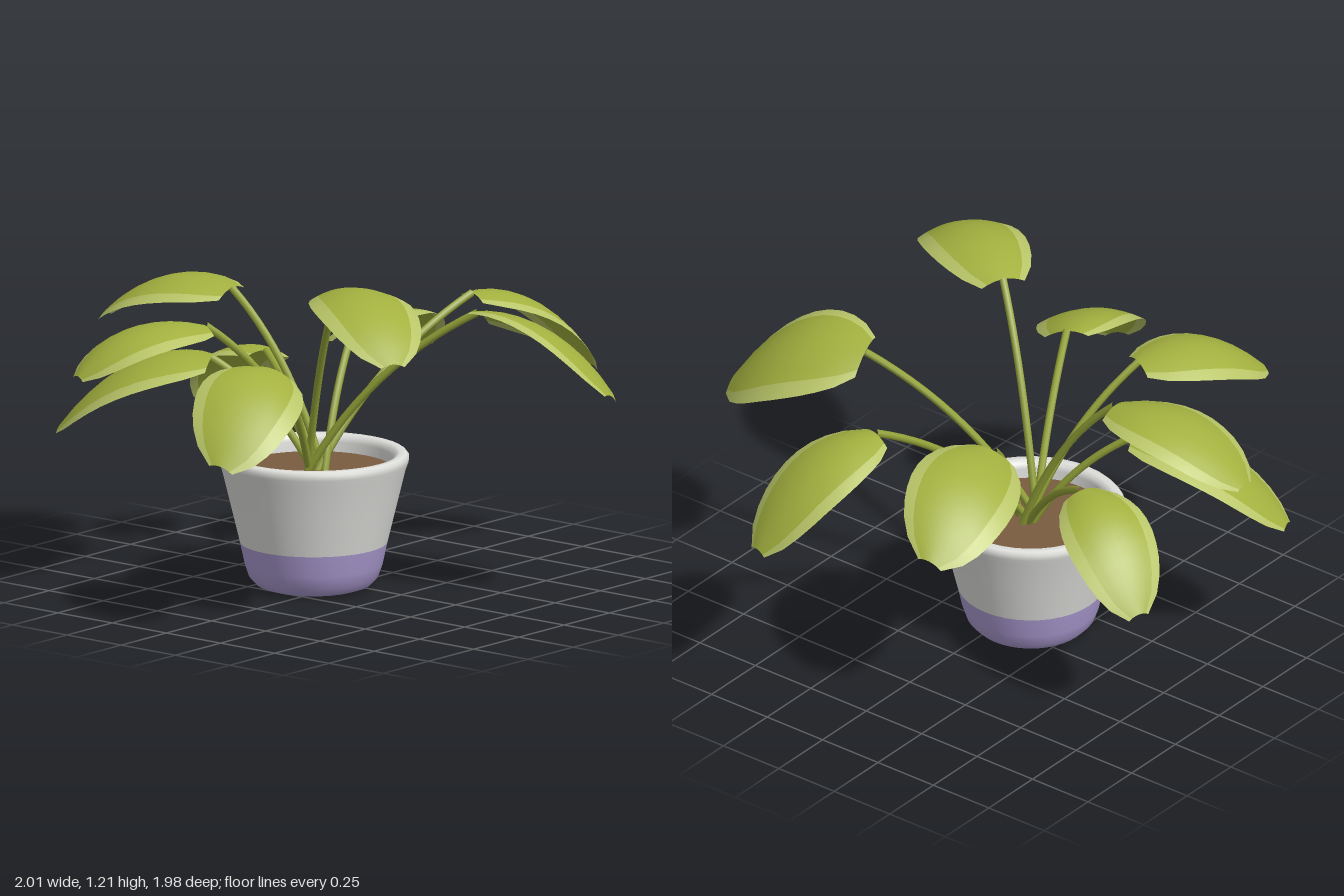
import * as THREE from 'three';

const mat = (name, color, side = THREE.FrontSide) => {
  const m = new THREE.MeshStandardMaterial({ color, side });
  m.name = name;
  return m;
};

// Pot centre
const CX = -0.09, CZ = -0.08;

// Each leaf: stem root (x, z), base point, tip point, bend height of the midrib, half width, sideways roll
const LEAVES = [
  { root: [-0.08, -0.09], base: [-0.26, 0.81, -0.41], tip: [-0.49, 0.53, -0.92], bend: 0.85, w: 0.19, roll: 0.03 },
  { root: [-0.05, -0.07], base: [-0.10, 1.03, -0.45], tip: [-0.17, 0.87, -0.98], bend: 1.12, w: 0.19, roll: 0.015 },
  { root: [-0.07, -0.08], base: [0.09, 0.77, -0.45], tip: [0.27, 0.49, -0.85], bend: 0.81, w: 0.16, roll: -0.02 },
  { root: [-0.06, -0.08], base: [-0.45, 0.98, -0.28], tip: [-0.89, 0.84, -0.50], bend: 1.06, w: 0.175, roll: 0 },
  { root: [-0.09, -0.03], base: [0.20, 0.87, -0.14], tip: [0.73, 0.71, -0.27], bend: 0.97, w: 0.185, roll: 0.06 },
  { root: [-0.10, -0.06], base: [0.52, 0.99, 0.14], tip: [0.99, 0.67, 0.30], bend: 1.02, w: 0.17, roll: 0 },
  { root: [-0.12, -0.09], base: [0.16, 1.03, 0.47], tip: [0.28, 0.78, 0.98], bend: 1.08, w: 0.19, roll: 0.08 },
  { root: [-0.11, -0.09], base: [-0.35, 1.17, 0.25], tip: [-0.67, 1.03, 0.77], bend: 1.30, w: 0.18, roll: 0 },
  { root: [-0.10, -0.09], base: [-0.56, 0.90, 0.13], tip: [-1.0, 0.64, 0.25], bend: 0.95, w: 0.185, roll: 0.05 },
];

// Relative half width from leaf base to blunt tip
const OUTLINE = [0.45, 0.72, 0.87, 0.96, 1, 1, 0.96, 0.89, 0.77, 0.58, 0.24];

// Lengthwise strip of a domed leaf blade between side positions s0 and s1 (-1..1)
function bladeStrip(leaf, s0, s1, cols) {
  const base = new THREE.Vector3(...leaf.base), tip = new THREE.Vector3(...leaf.tip);
  const mid = base.clone().lerp(tip, 0.58).setY(leaf.bend);
  const rib = new THREE.QuadraticBezierCurve3(base, mid, tip);
  const side = new THREE.Vector3(base.z - tip.z, 0, tip.x - base.x).normalize();
  const rows = OUTLINE.length - 1, pos = [], idx = [];
  for (let i = 0; i <= rows; i++) {
    const p = rib.getPoint(i / rows), h = OUTLINE[i];
    for (let j = 0; j <= cols; j++) {
      const s = s0 + (s1 - s0) * j / cols;
      const q = p.clone().addScaledVector(side, s * leaf.w * h);
      q.y += h * (leaf.roll * s - 0.052 * s * s);
      pos.push(q.x, q.y, q.z);
      if (i < rows && j < cols) {
        const a = i * (cols + 1) + j, b = a + cols + 1;
        idx.push(a, b, a + 1, b, b + 1, a + 1);
      }
    }
  }
  const g = new THREE.BufferGeometry();
  g.setAttribute('position', new THREE.Float32BufferAttribute(pos, 3));
  g.setIndex(idx);
  g.computeVertexNormals();
  return g;
}

// Arching stem from the soil to the leaf base
function stemGeometry(leaf) {
  const end = new THREE.Vector3(...leaf.base);
  const start = new THREE.Vector3(leaf.root[0], 0.41, leaf.root[1]);
  const bend = start.clone().lerp(end, 0.36);
  bend.y = start.y + (end.y - start.y) * 0.66;
  return new THREE.TubeGeometry(new THREE.QuadraticBezierCurve3(start, bend, end), 14, 0.014, 7);
}

export function createModel() {
  const root = new THREE.Group();
  root.name = 'pottedPlant';
  const white = mat('potWhite', 0xdfdfdc);
  const lavender = mat('potLavender', 0xac9bd2);
  const soilBrown = mat('soilBrown', 0x7a5c40);
  const stemGreen = mat('stemGreen', 0x93a238);
  const leafGreen = mat('leafGreen', 0xa3b13f, THREE.DoubleSide);
  const edgeGreen = mat('leafEdgeGreen', 0xb9c568, THREE.DoubleSide);

  const add = (parent, name, geometry, material) => {
    const m = new THREE.Mesh(geometry, material);
    m.name = name;
    parent.add(m);
    return m;
  };
  const lathe = (pts) => new THREE.LatheGeometry(pts.map(([x, y]) => new THREE.Vector2(x, y)), 40);

  // Pot: lavender foot, white body with a rounded rim
  const pot = new THREE.Group();
  pot.name = 'pot';
  pot.position.set(CX, 0, CZ);
  root.add(pot);
  add(pot, 'potFoot', lathe([[0, 0.006], [0.14, 0.002], [0.17, 0], [0.205, 0.012], [0.23, 0.04], [0.245, 0.085], [0.262, 0.163]]), lavender);
  add(pot, 'potBody', lathe([[0.262, 0.163], [0.295, 0.3], [0.327, 0.43], [0.337, 0.455], [0.338, 0.475],
    [0.328, 0.486], [0.305, 0.487], [0.29, 0.478], [0.284, 0.46], [0.28, 0.4]]), white);
  const soil = add(pot, 'soil', new THREE.CircleGeometry(0.284, 40), soilBrown);
  soil.rotation.x = -Math.PI / 2;
  soil.position.y = 0.425;

  // Stems and two-tone leaves
  LEAVES.forEach((leaf, i) => {
    const g = new THREE.Group();
    g.name = `leaf${i + 1}`;
    root.add(g);
    add(g, 'stem', stemGeometry(leaf), stemGreen);
    add(g, 'blade', bladeStrip(leaf, -0.75, 0.75, 8), leafGreen);
    add(g, 'bladeEdgeA', bladeStrip(leaf, -1, -0.75, 2), edgeGreen);
    add(g, 'bladeEdgeB', bladeStrip(leaf, 0.75, 1, 2), edgeGreen);
  });
  return root;
}
